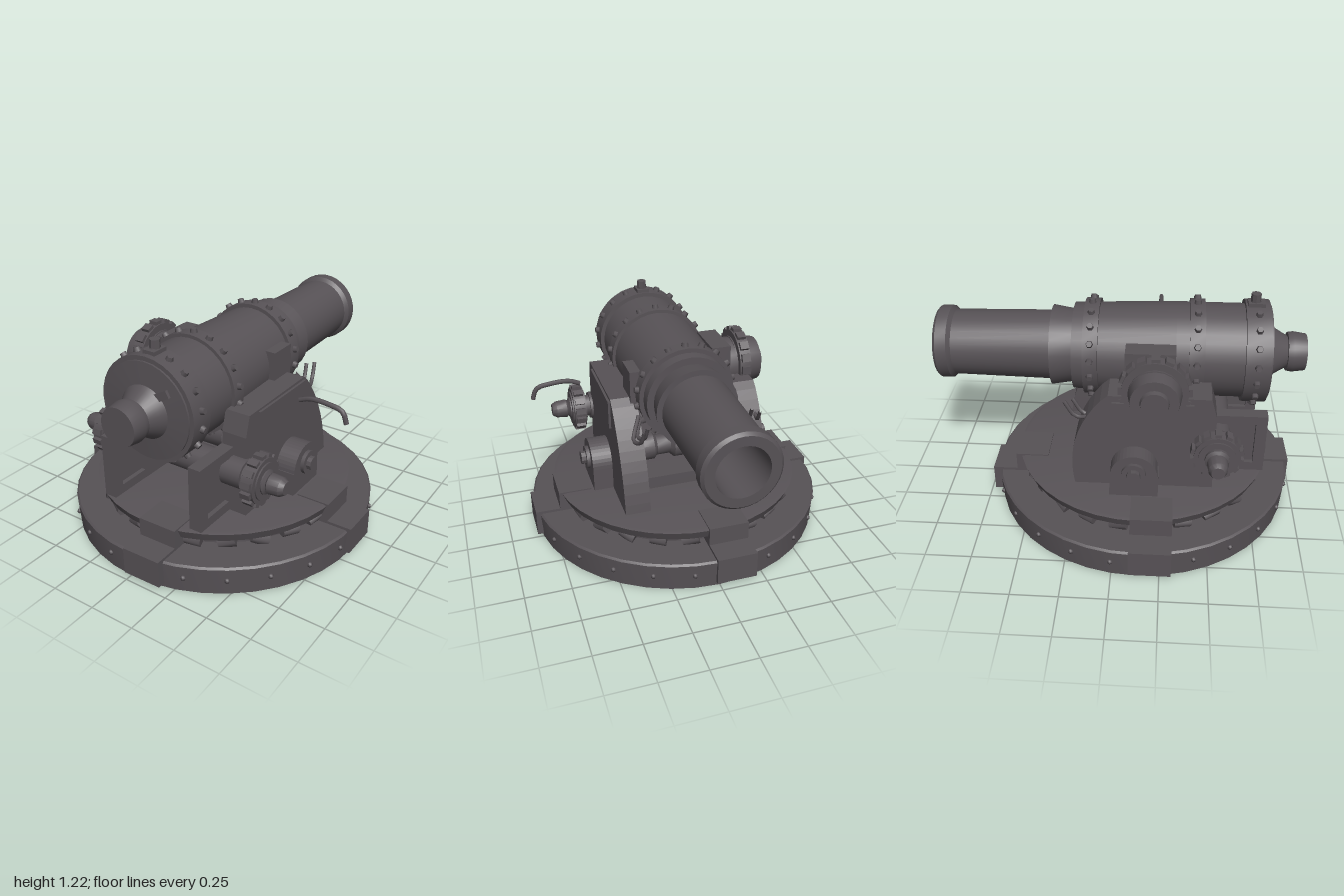
import * as THREE from 'three';
import { toCreasedNormals } from 'three/addons/utils/BufferGeometryUtils.js';

const iron = new THREE.MeshStandardMaterial({ color: 0x575256 });
iron.name = 'dark iron';

export function createModel() {
  const model = new THREE.Group();
  model.name = 'cannon';

  const add = (name, geo, parent = model) => {
    const m = new THREE.Mesh(geo, iron);
    m.name = name;
    parent.add(m);
    return m;
  };
  // box given by its min and max on each axis
  const box = (name, x0, x1, y0, y1, z0, z1, parent) =>
    add(name, new THREE.BoxGeometry(x1 - x0, y1 - y0, z1 - z0)
      .translate((x0 + x1) / 2, (y0 + y1) / 2, (z0 + z1) / 2), parent);
  // turned solid: [radius, position] pairs along the chosen axis
  const turned = (name, pts, axis, at, seg = 24, parent = model) => {
    const g = new THREE.LatheGeometry(pts.map(p => new THREE.Vector2(...p)), seg);
    if (axis === 'x') g.rotateZ(-Math.PI / 2);
    if (axis === 'z') g.rotateX(Math.PI / 2);
    const m = add(name, toCreasedNormals(g, 0.5), parent);
    m.position.set(...at);
    return m;
  };
  const rod = (name, r, a, b, axis, at, seg) =>
    turned(name, [[0, a], [r, a], [r, b], [0, b]], axis, at, seg);
  // plate drawn in (z, y) and extruded along x
  const plate = (name, shape, x0, x1) =>
    add(name, new THREE.ExtrudeGeometry(shape, { depth: x1 - x0, bevelEnabled: false, curveSegments: 10 })
      .rotateY(-Math.PI / 2).translate(x1, 0, 0));
  const tube = (name, pts, r) =>
    add(name, new THREE.TubeGeometry(
      new THREE.CatmullRomCurve3(pts.map(p => new THREE.Vector3(...p))), 14, r, 6));

  // ---- round base ----
  const cz = 0.13;
  turned('baseDisc', [[0, 0], [0.83, 0], [0.84, 0.15], [0.83, 0.16], [0, 0.16]], 'y', [0, 0, cz], 40);
  turned('turntableCore', [[0.63, 0.15], [0.63, 0.23]], 'y', [0, 0, cz], 40);
  turned('turntableTop', [[0, 0.215], [0.69, 0.215], [0.71, 0.265], [0.69, 0.27], [0, 0.27]], 'y', [0, 0, cz], 40);
  for (let i = 0; i < 24; i++) {
    const a = (i / 24) * Math.PI * 2 + 0.1;
    const roller = add('roller', new THREE.CylinderGeometry(0.03, 0.045, 0.09, 6));
    roller.position.set(Math.sin(a) * 0.645, 0.188, cz + Math.cos(a) * 0.645);
    roller.rotation.set(0, a, Math.PI / 2 + (i % 3 - 1) * 0.3);
    const rivet = add('baseRivet', new THREE.SphereGeometry(0.015, 6, 4));
    rivet.position.set(Math.sin(a) * 0.835, 0.085, cz + Math.cos(a) * 0.835);
  }
  // clamps over the rim
  [[0.02, 0.07], [Math.PI / 2, 0.03], [Math.PI, 0.09], [-Math.PI / 2, 0.07]].forEach(([a, side]) => {
    const clamp = new THREE.Group();
    clamp.name = 'rimClamp';
    clamp.position.z = cz;
    clamp.rotation.y = a;
    model.add(clamp);
    box('clampFoot', side - 0.11, side + 0.11, 0.025, 0.175, 0.66, 0.853, clamp);
    box('clampTop', side - 0.11, side + 0.11, 0.15, 0.277, 0.53, 0.715, clamp);
  });

  // ---- barrel ----
  const bx = 0.02, by = 0.88;
  turned('barrel', [
    [0, -0.55], [0.13, -0.58], [0.135, -1], [0.185, -1], [0.2, -0.985], [0.2, -0.925], [0.18, -0.905],
    [0.19, -0.37], [0.22, -0.37], [0.2, -0.25], [0.237, -0.25], [0.255, 0.3], [0.255, 0.8],
    [0.14, 0.81], [0.12, 0.84], [0.085, 0.9], [0.105, 0.9], [0.11, 0.93], [0.1, 1], [0, 1]
  ], 'z', [bx, by, 0], 32);
  [[-0.15, 0.262, 0.04], [0.41, 0.273, 0.04], [0.725, 0.278, 0.065]].forEach(([z, r, h]) => {
    turned('barrelBand', [[0.22, -h], [r, -h], [r, h], [0.22, h]], 'z', [bx, by, z], 32);
    for (let i = 0; i < 18; i++) {
      const a = (i / 18) * Math.PI * 2;
      const bolt = add('bandBolt', new THREE.CylinderGeometry(0.016, 0.022, 0.03, 6));
      bolt.position.set(bx + Math.sin(a) * (r + 0.005), by + Math.cos(a) * (r + 0.005), z);
      bolt.rotation.z = -a;
    }
  });
  // vent and breech latch
  box('ventBlock', bx - 0.035, bx + 0.035, 1.14, 1.175, 0.67, 0.76);
  rod('ventPipe', 0.027, 1.15, 1.22, 'y', [bx, 0, 0.71], 8);
  const latch = box('breechLatch', -0.05, 0.05, -0.02, 0.02, -0.01, 0.01);
  latch.position.set(0.125, 0.99, 0.81);
  latch.rotation.z = 0.5;
  box('trunnionBlockLeft', 0.24, 0.3, 0.78, 0.99, -0.07, 0.09);
  box('trunnionBlockRight', -0.31, -0.2, 0.78, 1.02, 0.04, 0.3);

  // ---- carriage cheeks ----
  const cheek = dz => {
    const s = new THREE.Shape();
    s.moveTo(0.52, 0.26);
    s.lineTo(0.52, 0.72);
    s.lineTo(0.49, 0.83);
    s.lineTo(-0.04, 0.835);
    s.lineTo(-0.08, 0.8);
    s.quadraticCurveTo(-0.28, 0.57, -0.32 + dz, 0.26);
    return s;
  };
  plate('cheekLeft', cheek(0), 0.265, 0.405);
  plate('cheekRight', cheek(0.1), -0.42, -0.25);
  box('cheekPanelLeft', 0.4, 0.418, 0.66, 0.82, -0.04, 0.41);
  box('cheekPanelRight', -0.435, -0.41, 0.62, 0.8, -0.02, 0.4);
  box('crossBeam', -0.26, 0.28, 0.3, 0.37, -0.15, -0.03);
  turned('crossShaft', [[0.06, -0.26], [0.06, -0.16], [0.085, -0.14], [0.085, 0.02], [0.06, 0.04],
    [0.06, 0.12], [0.08, 0.14], [0.08, 0.22], [0.06, 0.28]], 'x', [0, 0.43, 0.1], 14);

  // arched bearings outside the cheeks, then rear frames, mirrored
  [1, -1].forEach(s => {
    const span = (a, b) => s > 0 ? [a, b] : [-b, -a];
    const arch = new THREE.Shape();
    arch.moveTo(-0.03, 0.26);
    arch.lineTo(0.23, 0.26);
    arch.lineTo(0.23, 0.4);
    arch.absarc(0.1, 0.4, 0.125, 0, Math.PI, false);
    plate('bearing', arch, ...span(0.39, 0.515));
    rod('bearingRing', 0.065, ...span(0.5, 0.535), 'x', [0, 0.42, 0.1], 14);
    rod('bearingPin', 0.038, ...span(0.5, 0.56), 'x', [0, 0.42, 0.1], 10);

    const frame = new THREE.Shape();
    [[0.8, 0.3], [0.8, 0.65], [0.5, 0.65], [0.5, 0.3]].forEach(([z, y], i) => i ? frame.lineTo(z, y) : frame.moveTo(z, y));
    const hole = new THREE.Path();
    [[0.74, 0.35], [0.56, 0.35], [0.56, 0.6], [0.74, 0.6]].forEach(([z, y], i) => i ? hole.lineTo(z, y) : hole.moveTo(z, y));
    frame.holes.push(hole);
    const fx = s > 0 ? [0.26, 0.33] : [-0.29, -0.22];
    plate('rearFrame', frame, ...fx);
    box('framePanel', fx[0] + 0.025, fx[1] - 0.025, 0.34, 0.61, 0.55, 0.75);
  });

  // ---- toothed wheels ----
  const cog = (name, x0, x1, r, y, z, teeth) => {
    rod(name, r - 0.015, x0, x1, 'x', [0, y, z], 24);
    rod(name + 'Hub', r * 0.72, x0 - 0.008, x1 + 0.008, 'x', [0, y, z], 20);
    for (let i = 0; i < teeth; i++) {
      const a = (i / teeth) * Math.PI * 2;
      const t = add(name + 'Tooth', new THREE.BoxGeometry(x1 - x0 - 0.015, 0.03, r * 0.24));
      t.position.set((x0 + x1) / 2, y + Math.cos(a) * (r - 0.013), z + Math.sin(a) * (r - 0.013));
      t.rotation.x = a;
    }
  };
  const ax = [0, 0.525, 0.53];
  rod('axle', 0.08, -0.35, 0.42, 'x', ax, 18);
  cog('wheelLeft', 0.455, 0.525, 0.137, 0.525, 0.53, 14);
  cog('wheelRight', -0.495, -0.425, 0.137, 0.525, 0.53, 14);
  const knob = [[0.065, 0], [0.065, 0.12], [0.045, 0.13], [0.055, 0.14], [0.05, 0.2], [0.035, 0.225], [0, 0.225]];
  turned('axleKnobLeft', knob, 'x', [0.42, 0.525, 0.53], 14);
  turned('axleKnobRight', knob, 'x', [-0.4, 0.525, 0.53], 14).rotation.y = Math.PI;

  // large elevating wheel on the right cheek
  cog('elevatingWheel', -0.435, -0.37, 0.187, 0.87, 0.2, 16);
  turned('elevatingHub', [[0, -0.54], [0.07, -0.54], [0.075, -0.515], [0.125, -0.515], [0.14, -0.43], [0.14, -0.3]],
    'x', [0, 0.86, 0.2], 20);

  // ---- handle and loose ropes ----
  tube('curvedHandle', [[0.52, 0.835, 0.21], [0.58, 0.857, 0.21], [0.68, 0.855, 0.21], [0.76, 0.835, 0.21], [0.785, 0.775, 0.21]], 0.013);
  [[0, 0], [0.03, -0.04]].forEach(([dx, dz]) => {
    tube('ropeLeft', [[0.25 + dx, 0.78, -0.12 + dz], [0.3 + dx, 0.68, -0.2 + dz], [0.28 + dx, 0.7, -0.27 + dz], [0.27 + dx, 0.78, -0.31 + dz]], 0.011);
    tube('ropeRight', [[-0.28 - dx, 0.82, 0], [-0.36 - dx, 0.7, -0.08 + dz], [-0.35 - dx, 0.68, -0.17 + dz], [-0.34 - dx, 0.76, -0.23 + dz]], 0.011);
  });
  return model;
}
